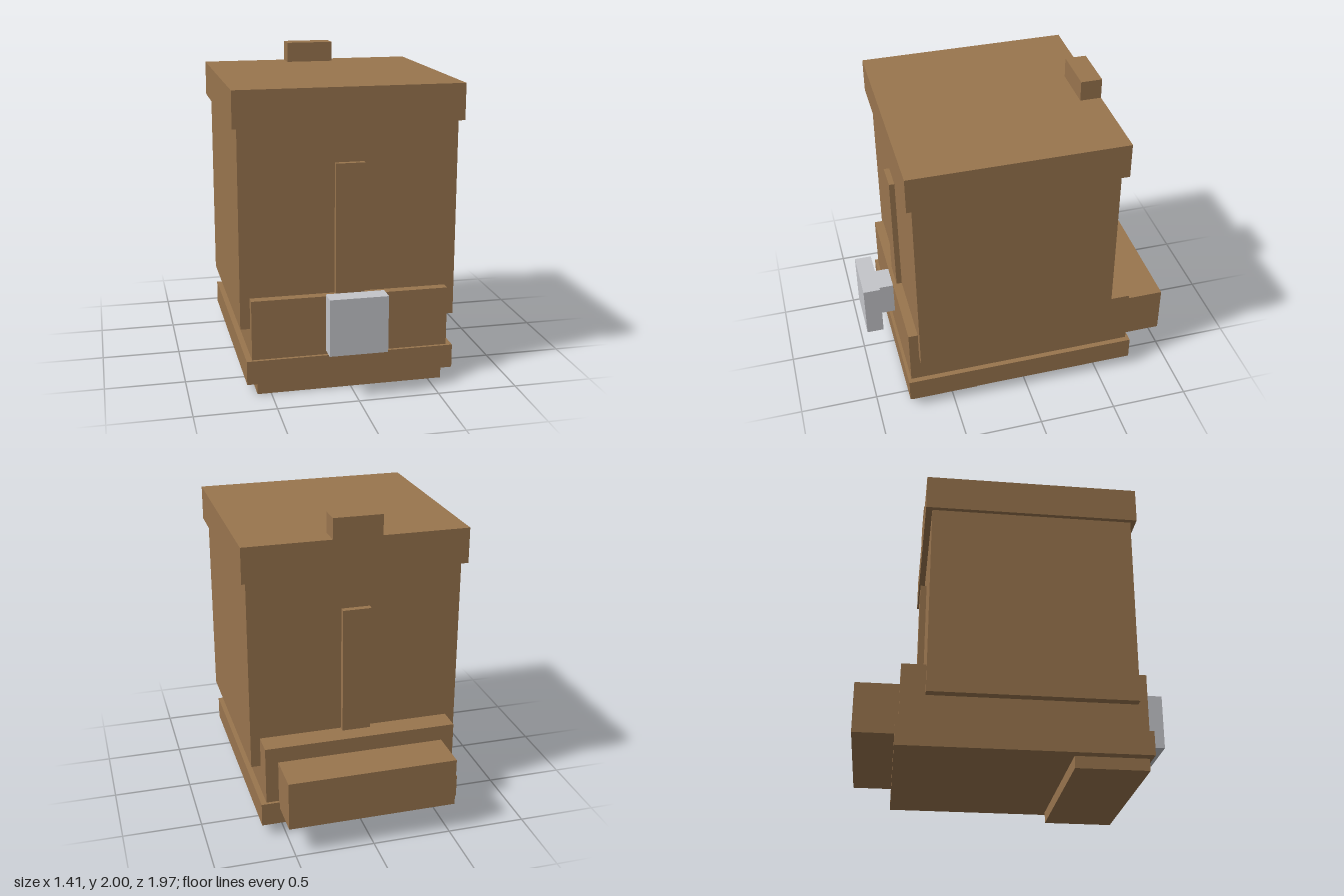
import * as THREE from 'three';

export function createModel() {
  const model = new THREE.Group();
  const wood = new THREE.MeshStandardMaterial({ color: 0x99754e });
  wood.name = 'brownWood';
  const metal = new THREE.MeshStandardMaterial({ color: 0xc4c5ca });
  metal.name = 'paleMetal';

  // Box symmetric in x, given its half width and its y and z ranges
  function block(name, halfWidth, y0, y1, z0, z1, material = wood) {
    const mesh = new THREE.Mesh(new THREE.BoxGeometry(halfWidth * 2, y1 - y0, z1 - z0), material);
    mesh.position.set(0, (y0 + y1) / 2, (z0 + z1) / 2);
    mesh.name = name;
    model.add(mesh);
  }

  // Base
  block('frontFoot', 0.585, 0, 0.075, 0.325, 0.775);
  block('plinth', 0.65, 0.075, 0.225, -0.73, 0.795);
  block('lowerBody', 0.615, 0.225, 0.6, -0.71, 0.775);
  block('rearBox', 0.535, 0.185, 0.5, -0.98, -0.71);

  // Body with a raised strip on the front and the back
  block('body', 0.675, 0.405, 1.645, -0.56, 0.715);
  block('frontStrip', 0.09, 0.6, 1.415, 0.715, 0.75);
  block('backStrip', 0.09, 0.6, 1.415, -0.6, -0.56);

  // Lid and its rear tab
  block('lid', 0.705, 1.645, 1.87, -0.6, 0.75);
  block('lidTab', 0.155, 1.87, 2, -0.6, -0.465);

  // Front knob
  block('knobStem', 0.09, 0.365, 0.59, 0.775, 0.875, metal);
  block('knob', 0.18, 0.295, 0.65, 0.875, 0.985, metal);

  return model;
}
